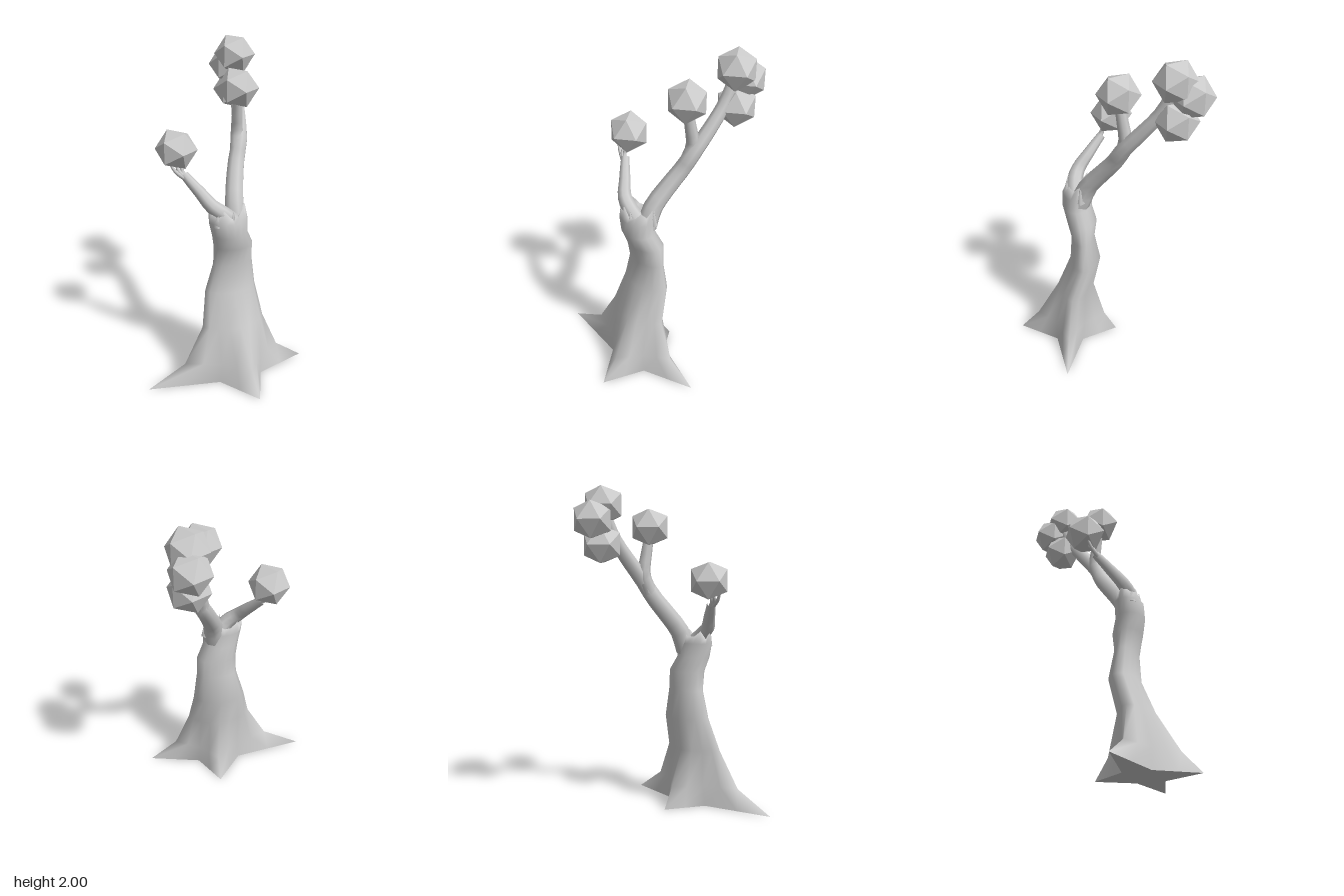
import * as THREE from 'three';

const bark = new THREE.MeshStandardMaterial({ color: 0xcccccc });
const leaf = new THREE.MeshStandardMaterial({ color: 0xcccccc, flatShading: true });

// Trunk rings: y, centre x, centre z, left x, right x, front z, back z, corner fraction
const rings = [
  [0, 0.08, 0.24, -0.52, 0.52, 0.578, -0.053, 0.27],
  [0.13, 0.08, 0.24, -0.28, 0.345, 0.46, 0.025, 0.42],
  [0.36, 0.06, 0.22, -0.155, 0.25, 0.325, 0.095, 0.62],
  [0.57, 0.05, 0.15, -0.11, 0.22, 0.24, 0.05, 0.68],
  [0.75, 0.065, 0.155, -0.06, 0.195, 0.227, 0.085, 0.7],
  [0.87, 0.065, 0.165, -0.06, 0.19, 0.255, 0.07, 0.7],
  [0.96, 0.035, 0.19, -0.08, 0.145, 0.282, 0.1, 0.7],
  [1.05, 0.025, 0.19, -0.1, 0.145, 0.278, 0.1, 0.7],
  [1.11, 0.02, 0.18, -0.1, 0.132, 0.255, 0.11, 0.7],
  [1.06, 0.02, 0.18, -0.06, 0.09, 0.22, 0.14, 0.7], // hollow inside the rim
];
const RIM = 8;
const SIDES = 16;

function ringPoints([y, cx, cz, xl, xr, zf, zb, k], row) {
  const dirs = [[1, 0], [k, k], [0, 1], [-k, k], [-1, 0], [-k, -k], [0, -1], [k, -k]];
  const corners = dirs.map(([u, v]) => [
    u * (u > 0 ? xr - cx : cx - xl),
    v * (v > 0 ? zf - cz : cz - zb),
  ]);
  const bulge = k > 0.6 ? 1.05 : 1;
  const out = [];
  for (let i = 0; i < SIDES; i++) {
    const a = corners[i >> 1];
    const b = corners[((i + 1) >> 1) % 8];
    const s = i % 2 ? bulge / 2 : 0.5;
    // ragged broken rim
    const jag = row === RIM ? [0.02, -0.03, 0.015, -0.015][(i * 3 + (i >> 2)) % 4] : 0;
    out.push([cx + (a[0] + b[0]) * s, y + jag, cz + (a[1] + b[1]) * s]);
  }
  return out;
}

function trunkGeometry() {
  const pos = [];
  const idx = [];
  const loops = rings.map(ringPoints);
  loops.forEach((loop) => loop.forEach((p) => pos.push(...p)));
  for (let j = 0; j < loops.length - 1; j++) {
    for (let i = 0; i < SIDES; i++) {
      const a = j * SIDES + i;
      const b = j * SIDES + ((i + 1) % SIDES);
      idx.push(a, a + SIDES, b, b, a + SIDES, b + SIDES);
    }
  }
  // flat underside and hollow floor
  const base = pos.length / 3;
  loops[0].forEach((p) => pos.push(...p));
  pos.push(0.08, 0, 0.24, 0.02, 1.05, 0.18);
  const top = (loops.length - 1) * SIDES;
  for (let i = 0; i < SIDES; i++) {
    const n = (i + 1) % SIDES;
    idx.push(base + SIDES, base + i, base + n);
    idx.push(base + SIDES + 1, top + n, top + i);
  }
  const g = new THREE.BufferGeometry();
  g.setAttribute('position', new THREE.Float32BufferAttribute(pos, 3));
  g.setIndex(idx);
  g.computeVertexNormals();
  return g;
}

// Tube along points whose radius tapers from r0 to r1
function limbGeometry(points, r0, r1) {
  const curve = new THREE.CatmullRomCurve3(points.map((p) => new THREE.Vector3(...p)));
  const segs = points.length * 2;
  const sides = 8;
  const g = new THREE.TubeGeometry(curve, segs, 1, sides);
  const p = g.attributes.position;
  const v = new THREE.Vector3();
  for (let i = 0; i < p.count; i++) {
    const t = Math.floor(i / (sides + 1)) / segs;
    const c = curve.getPointAt(t);
    v.fromBufferAttribute(p, i).sub(c).multiplyScalar(r0 + (r1 - r0) * t).add(c);
    p.setXYZ(i, v.x, v.y, v.z);
  }
  return g;
}

export function createModel() {
  const model = new THREE.Group();
  model.name = 'tree';
  const add = (name, geometry, material = bark) => {
    const mesh = new THREE.Mesh(geometry, material);
    mesh.name = name;
    model.add(mesh);
    return mesh;
  };

  add('trunk', trunkGeometry());

  // Branches
  add('mainBranch', limbGeometry([
    [0.08, 1.0, 0.17], [0.09, 1.12, 0.12], [0.125, 1.23, 0.04], [0.17, 1.34, -0.04],
    [0.21, 1.44, -0.09], [0.245, 1.58, -0.2], [0.265, 1.7, -0.29], [0.28, 1.87, -0.37],
  ], 0.062, 0.035));
  add('upperBranch', limbGeometry([
    [0.18, 1.37, -0.06], [0.195, 1.48, -0.1], [0.19, 1.6, -0.085], [0.18, 1.74, -0.06],
  ], 0.045, 0.028));
  add('sideBranch', limbGeometry([
    [0.05, 1.03, 0.2], [-0.02, 1.1, 0.205], [-0.08, 1.15, 0.185],
    [-0.13, 1.22, 0.13], [-0.175, 1.28, 0.08], [-0.2, 1.315, 0.05],
  ], 0.055, 0.026));

  // Forked twigs under the lone leaf cluster
  for (const tip of [[-0.275, 1.38, 0.03], [-0.235, 1.385, 0.0], [-0.2, 1.39, 0.03]]) {
    const mid = [(tip[0] - 0.2) / 2 - 0.01, 1.335, 0.045];
    add('twig', limbGeometry([[-0.18, 1.285, 0.075], mid, tip], 0.018, 0.007));
  }

  // Splinters where the branches leave the trunk
  for (const [x, y, z] of [[0.135, 1.13, 0.16], [-0.06, 1.13, 0.23], [0.03, 1.125, 0.25]]) {
    const s = add('splinter', new THREE.ConeGeometry(0.025, 0.1, 4));
    s.position.set(x, y - 0.05, z);
  }

  // Leaf clusters, one corner facing forward
  const ball = new THREE.IcosahedronGeometry(0.126, 0);
  ball.rotateX(Math.atan(2 / (1 + Math.sqrt(5)))).rotateZ(Math.PI / 2);
  for (const c of [
    [-0.225, 1.455, -0.01], [0.18, 1.767, -0.06], [0.285, 1.893, -0.36],
    [0.285, 1.807, -0.453], [0.285, 1.665, -0.375],
  ]) add('leafCluster', ball, leaf).position.set(...c);

  return model;
}
